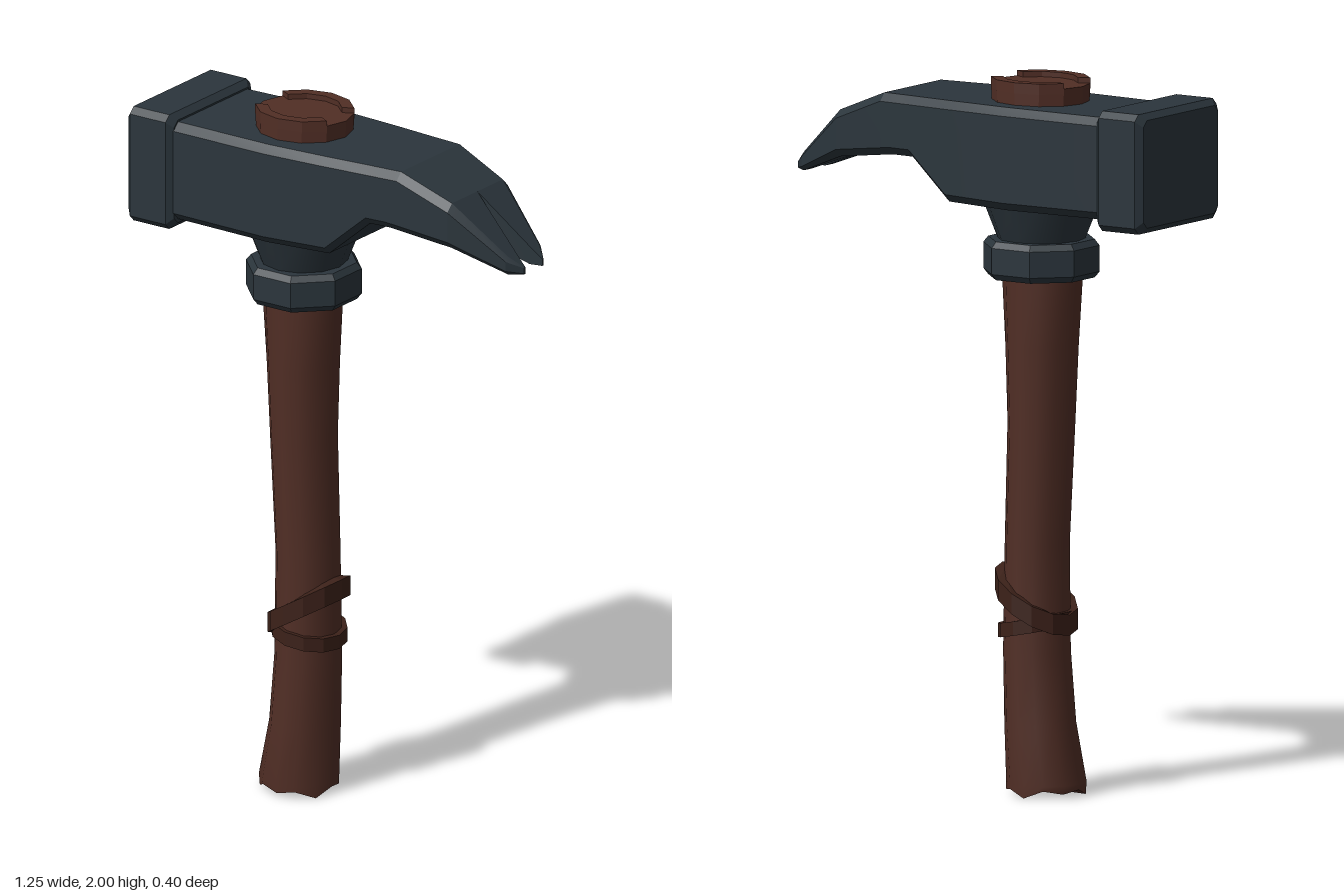
import * as THREE from 'three';
import { toCreasedNormals } from 'three/addons/utils/BufferGeometryUtils.js';

const iron = new THREE.MeshStandardMaterial({ color: 0x2b353c });
const wood = new THREE.MeshStandardMaterial({ color: 0x512e25 });
const leather = new THREE.MeshStandardMaterial({ color: 0x3c2119 });
const AXIS = -0.16; // x of the handle axis at the head

// Skin a list of equal-sized rings (counter-clockwise about the direction of travel)
function loft(rings, crease = 0.2, capped = true) {
  const n = rings[0].length, last = (rings.length - 1) * n, index = [];
  for (let i = 0; i < rings.length - 1; i++) {
    for (let j = 0; j < n; j++) {
      const a = i * n + j, b = i * n + (j + 1) % n;
      index.push(a, b, b + n, a, b + n, a + n);
    }
  }
  for (let j = 1; capped && j < n - 1; j++) {
    index.push(0, j + 1, j, last, last + j, last + j + 1);
  }
  const geo = new THREE.BufferGeometry();
  geo.setAttribute('position', new THREE.Float32BufferAttribute(rings.flat(2), 3));
  geo.setIndex(index);
  return toCreasedNormals(geo, crease);
}

// Upright rectangle at x with chamfers c0 on the z0 side and c1 on the z1 side
function section(x, b, t, z0, z1, c0, c1) {
  return [
    [x, t, z0 + c0], [x, t, z1 - c1], [x, t - c1, z1], [x, b + c1, z1],
    [x, b, z1 - c1], [x, b, z0 + c0], [x, b + c0, z0], [x, t - c0, z0],
  ];
}

// Horizontal 12-sided ellipse
function ellipse(y, x0, x1, rz, scale = 1, jag = [0]) {
  const cx = (x0 + x1) / 2, rx = (x1 - x0) / 2 * scale;
  return Array.from({ length: 12 }, (_, j) => {
    const t = j * Math.PI / 6;
    return [cx + rx * Math.sin(t), y + jag[j % jag.length], rz * scale * Math.cos(t)];
  });
}

// Flat band around the handle from step s0 to s1 (30 degrees each), tilted along x
function band({ cx, rx, rz, inner, y, height, slope, s0, s1 }) {
  const rings = [];
  for (let s = s0; s <= s1; s++) {
    const t = s * Math.PI / 6, sx = Math.sin(t), cz = Math.cos(t);
    const mid = y + slope * rx * sx;
    rings.push([[inner, 1], [1, 1], [1, -1], [inner, -1]].map(([k, h]) =>
      [cx + rx * k * sx, mid + h * height / 2, rz * k * cz]));
  }
  return loft(rings, 0.2, s1 - s0 < 12);
}

export function createModel() {
  const model = new THREE.Group();
  const add = (name, geo, mat) => {
    const mesh = new THREE.Mesh(geo, mat);
    mesh.name = name;
    model.add(mesh);
  };

  // Head body: x, bottom, top, half width
  add('headBody', loft([
    [-0.48, 1.65, 1.935, 0.185], [AXIS, 1.65, 1.937, 0.194],
    [0.04, 1.655, 1.937, 0.18], [0.17, 1.767, 1.937, 0.168],
    [0.235, 1.767, 1.937, 0.163], [0.27, 1.763, 1.937, 0.16],
    [0.43, 1.742, 1.873, 0.142],
  ].map(([x, b, t, w]) => section(x, b, t, -w, w, 0.022, 0.022))), iron);

  // Claw prongs either side of the V notch: x, bottom, top, inner z, outer z, chamfer
  for (const side of [1, -1]) {
    add(side > 0 ? 'leftClaw' : 'rightClaw', loft([
      [0.43, 1.742, 1.873, 0, 0.142, 0.022],
      [0.585, 1.683, 1.735, 0.032, 0.083, 0.012],
      [0.622, 1.683, 1.703, 0.04, 0.046, 0.002],
    ].map(([x, b, t, zi, zo, c]) => side > 0
      ? section(x, b, t, zi, zo, 0, c)
      : section(x, b, t, -zo, -zi, c, 0))), iron);
  }

  // Striking face, chamfered on every edge
  add('strikingFace', loft(
    [[-0.625, 0.017], [-0.608, 0], [-0.487, 0], [-0.47, 0.017]].map(([x, d]) =>
      section(x, 1.622 + d, 1.957 - d, -0.2 + d, 0.2 - d, 0.018, 0.018))), iron);

  // Flared neck and octagonal collar under the head
  const neck = new THREE.CylinderGeometry(0.163, 0.12, 0.11, 12);
  add('neck', toCreasedNormals(neck.translate(AXIS, 1.602, 0), 0.7), iron);
  const profile = [[0.1, 1.445], [0.15, 1.445], [0.164, 1.462], [0.164, 1.535], [0.15, 1.552], [0.1, 1.552]]
    .map(p => new THREE.Vector2(...p));
  const collar = new THREE.LatheGeometry(profile, 8, Math.PI / 8);
  add('collar', toCreasedNormals(collar.translate(AXIS, 0, 0), 0.2), iron);

  // Curved handle with a ragged, hollowed foot
  const foot = [-0.285, -0.065, 0.11];
  add('handle', loft([
    ellipse(0.04, ...foot, 0.7),
    ellipse(0.012, ...foot, 0.76, [0, 0.008, 0.003]),
    ellipse(0.012, ...foot, 1, [0, 0.008, -0.012, 0.01]),
    ellipse(0.035, -0.288, -0.065, 0.111),
    ...[
      [0.2, -0.252, -0.06, 0.108], [0.4, -0.235, -0.055, 0.103],
      [0.7, -0.232, -0.06, 0.1], [1.04, -0.25, -0.07, 0.104],
      [1.25, -0.26, -0.064, 0.11], [1.5, -0.278, -0.05, 0.116],
    ].map(r => ellipse(...r)),
  ], 0.7), wood);

  // Handle end showing through the head, with two raised rims
  add('handleTop', loft([
    ellipse(1.88, -0.293, -0.022, 0.127), ellipse(1.985, -0.298, -0.016, 0.129),
  ], 0.2), wood);
  for (const s0 of [-2, 4]) {
    add('handleTopRim', band({
      cx: -0.157, rx: 0.141, rz: 0.129, inner: 0.75, y: 1.985, height: 0.03, slope: 0, s0, s1: s0 + 4,
    }), wood);
  }

  // Leather straps crossing on the handle
  const strap = { cx: -0.143, inner: 0.75, s0: 0, s1: 12 };
  add('upperStrap', band({ ...strap, rx: 0.112, rz: 0.122, y: 0.542, height: 0.058, slope: 0.58 }), leather);
  add('lowerStrap', band({ ...strap, rx: 0.104, rz: 0.114, y: 0.472, height: 0.04, slope: -0.2 }), leather);

  return model;
}
